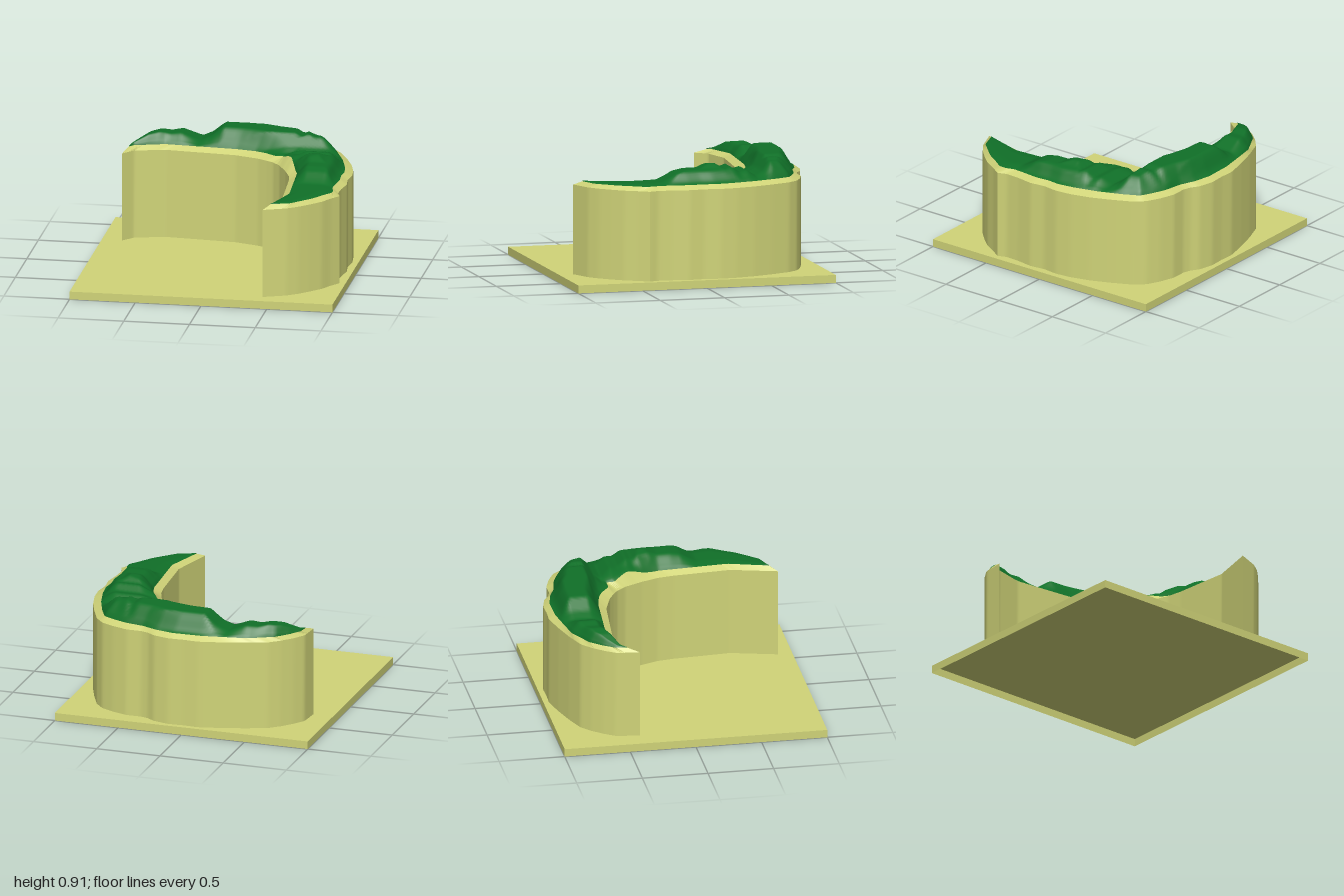
import * as THREE from 'three';
import { toCreasedNormals, mergeVertices } from 'three/addons/utils/BufferGeometryUtils.js';

const N = 170;          // steps along the crescent
const PLATE = 0.06, WALL = 0.74, EDGE = 0.77;

// Evenly spaced points along an outline given as x, z pairs
function trace(flat) {
  const pts = [];
  for (let i = 0; i < flat.length; i += 2) pts.push(new THREE.Vector2(flat[i], flat[i + 1]));
  return new THREE.Path().setFromPoints(pts).getSpacedPoints(N);
}

// Wall outlines, both from the left-hand tip to the front tip
const wallOuter = trace([
  -0.845, -0.40, -0.83, -0.57, -0.77, -0.66, -0.70, -0.74, -0.62, -0.81, -0.46, -0.87, -0.29, -0.92,
  -0.12, -0.96, 0, -0.955, 0.12, -0.96, 0.24, -0.93, 0.30, -0.89, 0.36, -0.87, 0.48, -0.87, 0.60, -0.83,
  0.70, -0.78, 0.77, -0.70, 0.84, -0.55, 0.90, -0.40, 0.94, -0.25, 0.955, -0.12, 0.94, 0, 0.955, 0.12,
  0.935, 0.25, 0.93, 0.36, 0.955, 0.43, 0.90, 0.51, 0.85, 0.60, 0.77, 0.69, 0.70, 0.76, 0.62, 0.82, 0.45, 0.89]);
const wallInner = trace([
  -0.845, -0.40, -0.77, -0.49, -0.54, -0.55, -0.10, -0.51, 0, -0.50, 0.18, -0.44, 0.25, -0.40, 0.31, -0.36,
  0.37, -0.29, 0.44, -0.15, 0.49, -0.02, 0.51, 0.10, 0.54, 0.54, 0.45, 0.89]);

// Outlines of the grass, set in from the wall
const grassOuter = trace([
  -0.81, -0.49, -0.80, -0.57, -0.74, -0.66, -0.66, -0.75, -0.47, -0.85, -0.30, -0.88, -0.12, -0.91,
  0.10, -0.915, 0.24, -0.885, 0.36, -0.835, 0.50, -0.81, 0.60, -0.77, 0.70, -0.72, 0.76, -0.60, 0.83, -0.42,
  0.88, -0.23, 0.90, -0.10, 0.89, 0, 0.90, 0.10, 0.885, 0.25, 0.88, 0.33, 0.90, 0.39, 0.90, 0.45,
  0.85, 0.52, 0.78, 0.63, 0.64, 0.78, 0.50, 0.83]);
const grassInner = trace([
  -0.81, -0.49, -0.78, -0.53, -0.55, -0.60, 0, -0.56, 0.15, -0.53, 0.23, -0.495, 0.32, -0.425, 0.395, -0.43,
  0.38, -0.37, 0.47, -0.25, 0.51, -0.14, 0.555, 0, 0.59, 0.53, 0.50, 0.83]);

// Hill heights along x and along z; the terrain is the lower of the two
const alongX = [[-0.82, 0.77], [-0.68, 0.84], [-0.6, 0.855], [-0.52, 0.84], [-0.44, 0.85], [-0.3, 0.795],
  [-0.22, 0.83], [-0.12, 0.91], [0.44, 0.91], [0.49, 0.885], [0.53, 0.905], [0.6, 0.885], [0.7, 0.9],
  [0.76, 0.87], [0.82, 0.855], [0.9, 0.78]];
const alongZ = [[-0.92, 0.77], [-0.85, 0.87], [-0.8, 0.91], [-0.6, 0.91], [-0.52, 0.82], [-0.46, 0.79],
  [-0.38, 0.84], [-0.32, 0.83], [-0.25, 0.875], [-0.2, 0.86], [-0.13, 0.905], [-0.08, 0.895], [0, 0.865],
  [0.1, 0.865], [0.18, 0.85], [0.25, 0.81], [0.3, 0.785], [0.83, 0.775]];

function lookup(table, x) {
  if (x <= table[0][0]) return table[0][1];
  for (let i = 1; i < table.length; i++) {
    const [x0, y0] = table[i - 1], [x1, y1] = table[i];
    if (x <= x1) return y0 + (y1 - y0) * (x - x0) / (x1 - x0);
  }
  return table[table.length - 1][1];
}

// Grass edge height, with a small rise at the inner bend
const edgeHeight = (x, z) => EDGE + 0.05 * Math.exp(-((x - 0.46) ** 2 + (z + 0.26) ** 2) / 0.016);

// Surface through rows of points: row(i) runs from outside to inside
function loft(row) {
  const pos = [], index = [];
  let w = 0;
  for (let i = 0; i <= N; i++) {
    const r = row(i);
    w = r.length;
    r.forEach(p => pos.push(...p));
  }
  for (let i = 0; i < N; i++) for (let j = 0; j < w - 1; j++) {
    const a = i * w + j, b = a + w;
    index.push(a, a + 1, b, a + 1, b + 1, b);
  }
  const g = new THREE.BufferGeometry();
  g.setAttribute('position', new THREE.Float32BufferAttribute(pos, 3));
  g.setIndex(index);
  return g;
}

export function createModel() {
  const group = new THREE.Group();
  const sand = new THREE.MeshStandardMaterial({ color: 0xd0d478, side: THREE.DoubleSide });
  const green = new THREE.MeshStandardMaterial({ color: 0x107028, side: THREE.DoubleSide });
  const add = (name, geometry, material) => {
    const mesh = new THREE.Mesh(geometry, material);
    mesh.name = name;
    group.add(mesh);
  };
  const at = (p, y) => [p.x, y, p.y];

  // Base plate, hollow underneath: the box without its bottom face
  const plate = new THREE.BoxGeometry(2, PLATE, 2).translate(0, PLATE / 2, 0);
  const faces = Array.from(plate.index.array);
  faces.splice(18, 6);
  plate.setIndex(faces);
  plate.clearGroups();
  add('basePlate', plate, sand);

  // Upright walls on both sides of the crescent
  const wall = (name, line, y0, y1) =>
    add(name, toCreasedNormals(loft(i => [at(line[i], y0), at(line[i], y1)]), 0.6), sand);
  wall('outerWall', wallOuter, PLATE, WALL);
  wall('innerWall', wallInner, WALL, PLATE);

  // Sloping rims between walls and grass
  const rimPoint = p => at(p, edgeHeight(p.x, p.y));
  add('outerRim', toCreasedNormals(loft(i => [at(wallOuter[i], WALL), rimPoint(grassOuter[i])]), 0.6), sand);
  add('innerRim', toCreasedNormals(loft(i => [rimPoint(grassInner[i]), at(wallInner[i], WALL)]), 0.6), sand);

  // Rolling grass top, easing down to its edges
  const M = 28;
  const grass = loft(i => {
    const row = [];
    for (let j = 0; j <= M; j++) {
      const p = grassOuter[i].clone().lerp(grassInner[i], j / M);
      const edge = edgeHeight(p.x, p.y);
      const hill = Math.max(edge, Math.min(lookup(alongX, p.x), lookup(alongZ, p.y)));
      const ease = THREE.MathUtils.smoothstep(Math.min(j, M - j) / M, -0.08, 0.3);
      const lift = j === 0 || j === M ? 0 : ease;
      row.push([p.x, edge + (hill - edge) * lift, p.y]);
    }
    return row;
  });
  const smooth = mergeVertices(grass);
  smooth.computeVertexNormals();
  add('grassTop', smooth, green);
  return group;
}
